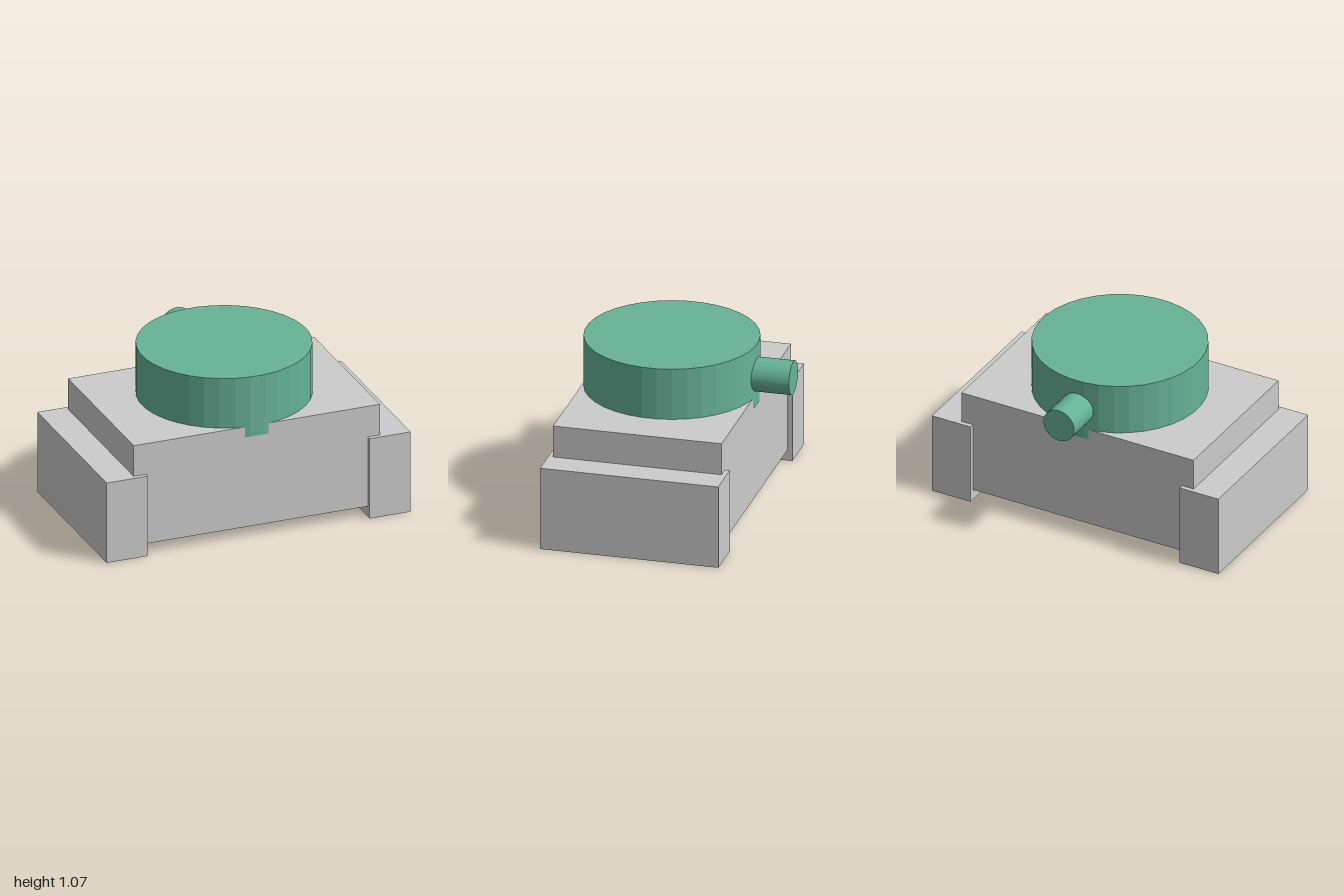
import * as THREE from 'three';

export function createModel() {
  const model = new THREE.Group();
  const grey = new THREE.MeshStandardMaterial({ color: 0xcccccc, flatShading: true });
  const green = new THREE.MeshStandardMaterial({ color: 0x66b398, flatShading: true });
  const midZ = 0.102; // the body sits forward to balance the barrel

  const add = (name, geometry, material, x, y, z) => {
    const mesh = new THREE.Mesh(geometry, material);
    mesh.name = name;
    mesh.position.set(x, y, z);
    model.add(mesh);
    return mesh;
  };

  // Hull
  add('hull', new THREE.BoxGeometry(1.62, 0.67, 1.065), grey, 0, 0.405, midZ);

  // Track blocks on both sides
  for (const side of [1, -1]) {
    add(side > 0 ? 'leftTrack' : 'rightTrack',
      new THREE.BoxGeometry(0.27, 0.535, 1.125), grey, side * 0.865, 0.2675, midZ);
  }

  // Turret, sunk into the hull; one facet faces straight forward
  const turret = add('turret', new THREE.CylinderGeometry(0.54, 0.54, 0.4, 36), green, 0, 0.872, midZ);
  turret.rotation.y = Math.PI / 36;

  // Barrel pointing to the back
  const barrel = add('barrel', new THREE.CylinderGeometry(0.107, 0.107, 0.365, 36), green, 0, 0.872, -0.4825);
  barrel.rotation.x = -Math.PI / 2;

  return model;
}
